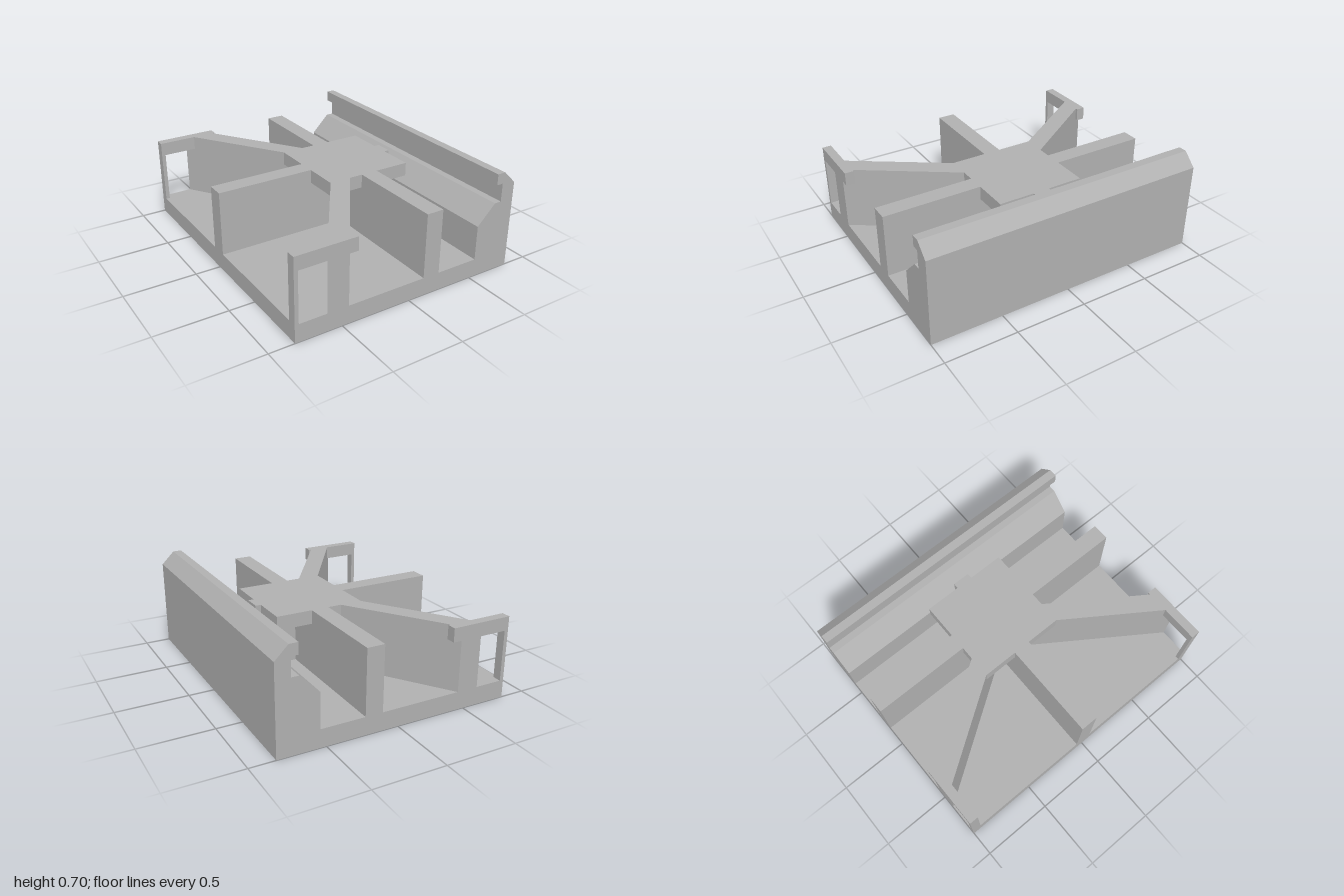
import * as THREE from 'three';

const grey = new THREE.MeshStandardMaterial({ color: 0xb0b0b0 });
grey.name = 'plain grey';

const FLOOR = 0.125, UNDER = 0.48, TOP = 0.575;

function outline(points) {
  return new THREE.Shape(points.map(([a, b]) => new THREE.Vector2(a, b)));
}

function addPart(group, name, geometry) {
  const mesh = new THREE.Mesh(geometry, grey);
  mesh.name = name;
  group.add(mesh);
}

// Front profile (x, y) swept along z, centred on z = 0
function sweep(points, length) {
  return new THREE.ExtrudeGeometry(outline(points), { depth: length, bevelEnabled: false })
    .translate(0, 0, -length / 2);
}

// Plan outline (x, z) raised from y0 to y1
function raise(points, y0, y1) {
  return new THREE.ExtrudeGeometry(outline(points), { depth: y1 - y0, bevelEnabled: false })
    .rotateX(Math.PI / 2).translate(0, y1, 0);
}

function block(x0, x1, y0, y1, z0, z1) {
  return new THREE.BoxGeometry(x1 - x0, y1 - y0, Math.abs(z1 - z0))
    .translate((x0 + x1) / 2, (y0 + y1) / 2, (z0 + z1) / 2);
}

export function createModel() {
  const model = new THREE.Group();
  model.name = 'ribbedBracket';

  addPart(model, 'basePlate', block(-0.825, 0.825, 0, FLOOR, -1, 1));

  // Hooked rail along the left side
  addPart(model, 'hookRail', sweep([
    [0.54, FLOOR], [0.825, FLOOR], [0.825, 0.615], [0.735, 0.703], [0.675, 0.703],
    [0.675, 0.627], [0.723, 0.627], [0.723, 0.5], [0.673, 0.5], [0.54, 0.367],
  ], 2));

  // Straight ribs
  addPart(model, 'longRib', block(0.112, 0.234, FLOOR, TOP, -1, 1));
  addPart(model, 'crossRib', sweep([
    [-0.825, FLOOR], [0.54, FLOOR], [0.54, 0.367], [0.523, 0.35], [0.523, TOP], [-0.825, TOP],
  ], 0.122));

  // Plate joining the ribs at the top
  addPart(model, 'centrePlate', block(-0.138, 0.485, UNDER, TOP, -0.31, 0.31));

  // Diagonal ribs and end frames, mirrored front to back
  for (const [side, s] of [['front', 1], ['back', -1]]) {
    addPart(model, side + 'DiagonalRib', raise([
      [-0.605, s], [-0.453, s], [0.112, s * 0.17], [0.112, 0], [0.071, 0],
    ], FLOOR, TOP));
    addPart(model, side + 'Lintel', block(-0.825, -0.392, UNDER, TOP, s * 0.937, s));
    addPart(model, side + 'CornerPost', block(-0.825, -0.798, FLOOR, UNDER, s * 0.937, s));
  }
  return model;
}
